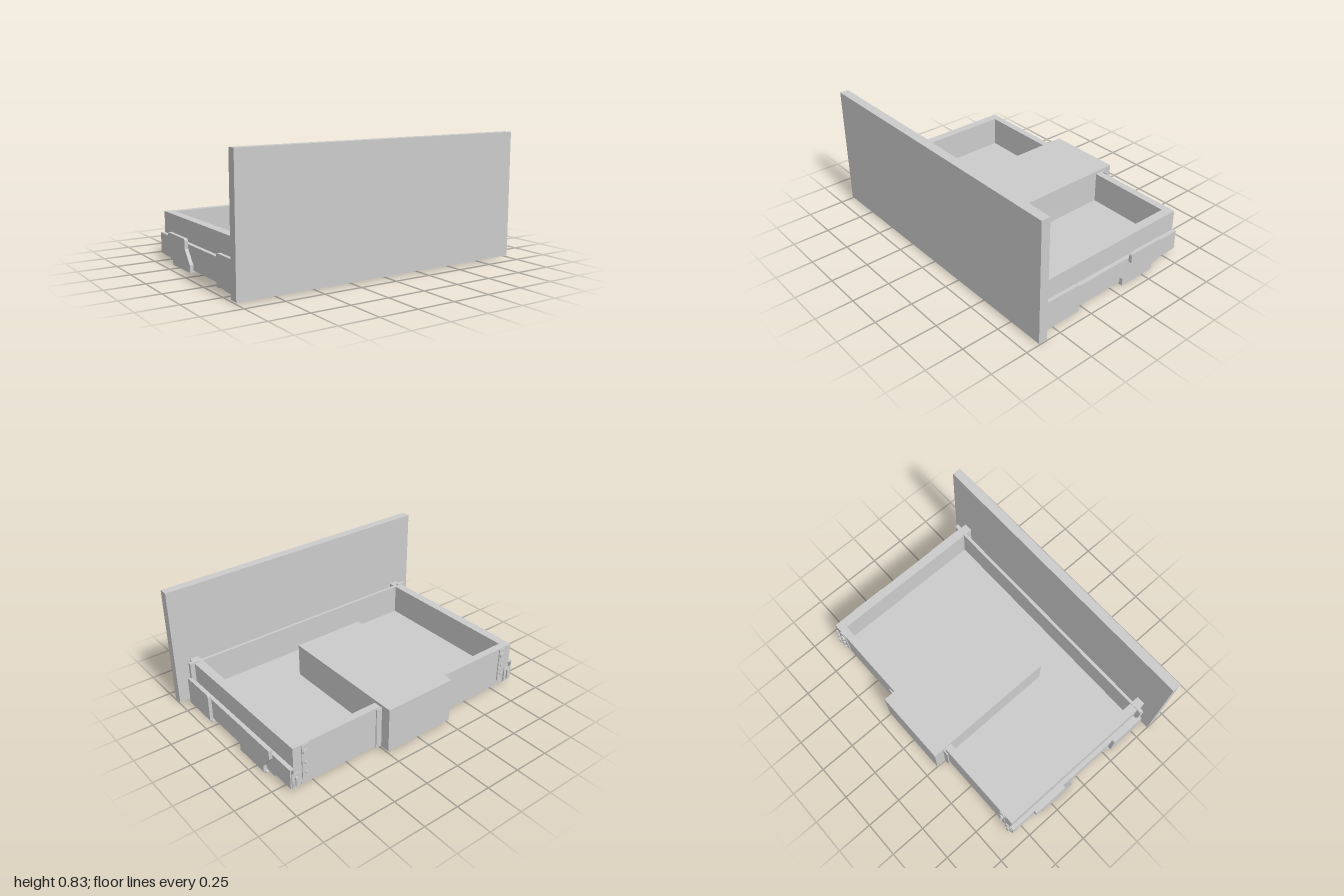
import * as THREE from 'three';

const material = new THREE.MeshStandardMaterial({ color: 0xcccccc, flatShading: true, side: THREE.DoubleSide });

export function createModel() {
  const root = new THREE.Group();

  const add = (parent, name, geometry) => {
    const mesh = new THREE.Mesh(geometry, material);
    mesh.name = name;
    parent.add(mesh);
    return mesh;
  };

  // Box given by its limits on each axis
  const box = (parent, name, x0, x1, y0, y1, z0, z1) => {
    const mesh = add(parent, name, new THREE.BoxGeometry(Math.abs(x1 - x0), y1 - y0, z1 - z0));
    mesh.position.set((x0 + x1) / 2, (y0 + y1) / 2, (z0 + z1) / 2);
    return mesh;
  };

  // Upright plate with a (z, y) outline, extruded from x0 to x1
  const sidePlate = (parent, name, outline, x0, x1) => {
    const shape = new THREE.Shape(outline.map(([z, y]) => new THREE.Vector2(-z, y)));
    const geometry = new THREE.ExtrudeGeometry(shape, { depth: x1 - x0, bevelEnabled: false });
    geometry.rotateY(Math.PI / 2);
    geometry.translate(x0, 0, 0);
    return add(parent, name, geometry);
  };

  // Front panel and drawer body
  box(root, 'frontPanel', -1, 1, 0.01, 0.83, 0.6, 0.66);
  box(root, 'drawerFloor', -0.84, 0.84, 0.025, 0.1, -0.575, 0.555);
  box(root, 'innerFront', -0.84, 0.84, 0.025, 0.31, 0.533, 0.555);
  box(root, 'pipeCover', -0.255, 0.255, 0.02, 0.33, -0.66, 0.27);

  for (const side of [-1, 1]) {
    const half = new THREE.Group();
    half.name = side > 0 ? 'leftSide' : 'rightSide';
    root.add(half);
    const part = (name, x0, x1, ...rest) => box(half, name, side * x0, side * x1, ...rest);
    const plate = (name, outline, x0, x1) =>
      sidePlate(half, name, outline, Math.min(side * x0, side * x1), Math.max(side * x0, side * x1));

    // Side and rear walls
    part('sideWall', 0.833, 0.893, 0.04, 0.31, -0.575, 0.6);
    part('rearWall', 0.255, 0.833, 0.025, 0.31, -0.575, -0.525);
    part('frontClip', 0.86, 0.925, 0.17, 0.318, 0.535, 0.558);

    // Slide rail: outer web with top and bottom lips, inner runner
    part('railWeb', 0.912, 0.92, 0.035, 0.17, -0.58, 0.6);
    part('railTop', 0.885, 0.92, 0.162, 0.17, -0.58, 0.6);
    part('railBottom', 0.86, 0.92, 0.02, 0.035, -0.42, 0.56);
    part('railRunner', 0.85, 0.905, 0.035, 0.09, -0.585, 0.56);
    part('railTail', 0.845, 0.9, 0.018, 0.03, -0.575, -0.42);

    // Front slide bracket with rounded upper corners
    plate('frontBracket', [[0.3, 0.012], [0.3, 0.19], [0.305, 0.199], [0.315, 0.204],
      [0.545, 0.204], [0.555, 0.199], [0.56, 0.19], [0.56, 0.012]], 0.92, 0.943);
    part('frontBracketFlange', 0.87, 0.943, 0.01, 0.018, 0.3, 0.56);
    part('frontBracketFoot', 0.86, 0.935, 0, 0.012, 0.39, 0.49);
    part('frontBracketTab', 0.86, 0.935, 0, 0.012, 0.285, 0.33);

    // Rear slide bracket with a slanted outline
    plate('rearBracket', [[-0.07, 0.01], [-0.07, 0.055], [-0.14, 0.142], [-0.14, 0.188],
      [-0.144, 0.199], [-0.155, 0.204], [-0.4, 0.204], [-0.4, 0.142], [-0.33, 0.052], [-0.33, 0.01]], 0.92, 0.943);
    part('rearBracketFlange', 0.87, 0.943, 0.006, 0.014, -0.33, -0.07);
    part('rearBracketFoot', 0.86, 0.935, 0, 0.01, -0.345, -0.27);

    // Rear fixing plate with screws
    part('rearFixingPlate', 0.785, 0.835, 0.06, 0.305, -0.582, -0.574);
    for (const [y, r] of [[0.11, 0.008], [0.18, 0.01], [0.255, 0.02]]) {
      const screw = add(half, 'rearScrew', new THREE.CylinderGeometry(r, r, 0.014, 16));
      screw.rotation.x = Math.PI / 2;
      screw.position.set(side * 0.81, y, -0.587);
    }

    // Hook at the rear end of the rail
    part('railHookPlate', 0.85, 0.91, 0.03, 0.13, -0.583, -0.577);
    part('railHook', 0.872, 0.89, 0.045, 0.11, -0.595, -0.577);

    // Trim flange where the rear wall meets the pipe cover
    part('coverTrim', 0.253, 0.262, 0.025, 0.31, -0.592, -0.575);
    part('coverTrimFlange', 0.255, 0.295, 0.025, 0.31, -0.592, -0.584);
  }

  // Bar across the inner front
  box(root, 'frontBar', -0.925, 0.925, 0.295, 0.312, 0.533, 0.553);

  return root;
}
